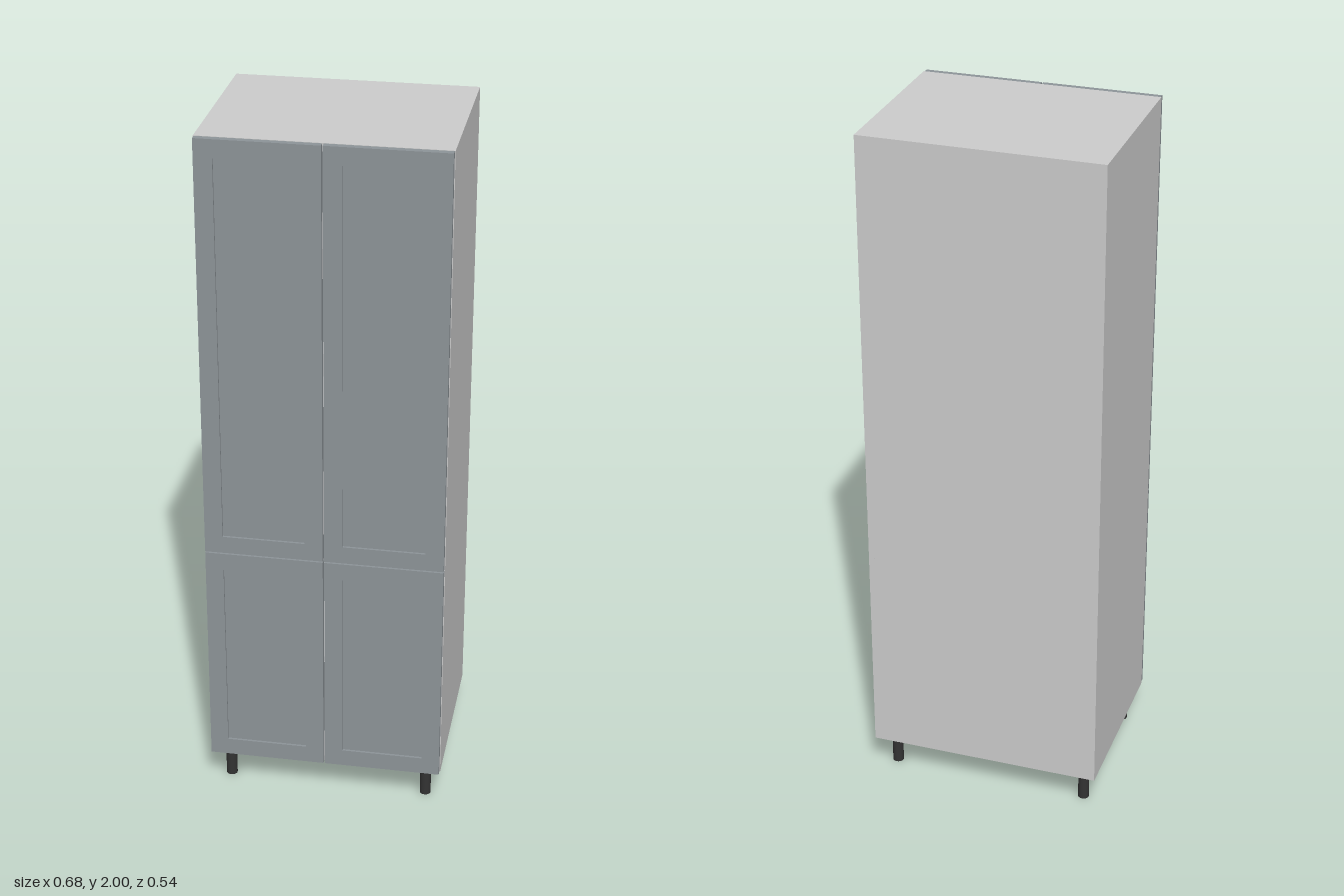
import * as THREE from 'three';

const W = 0.338, T = 0.016, Y0 = 0.107, Y1 = 2, ZB = -0.27, ZF = 0.25, DOOR = 0.018;

const carcassMat = new THREE.MeshStandardMaterial({ color: 0xcccccc });
const doorMat = new THREE.MeshStandardMaterial({ color: 0x8d9498 });
const legMat = new THREE.MeshStandardMaterial({ color: 0x333333 });

// Box given by its minimum and maximum corners
function board(name, [x0, y0, z0], [x1, y1, z1], mat = carcassMat) {
  const mesh = new THREE.Mesh(new THREE.BoxGeometry(x1 - x0, y1 - y0, z1 - z0), mat);
  mesh.position.set((x0 + x1) / 2, (y0 + y1) / 2, (z0 + z1) / 2);
  mesh.name = name;
  return mesh;
}

function rectangle(target, x0, y0, x1, y1) {
  target.moveTo(x0, y0);
  target.lineTo(x1, y0);
  target.lineTo(x1, y1);
  target.lineTo(x0, y1);
  target.closePath();
  return target;
}

// Framed door with a recessed flat panel
function door(name, x0, y0, x1, y1) {
  const group = new THREE.Group();
  group.name = name;
  const rail = 0.051;
  const inner = [x0 + rail, y0 + rail, x1 - rail, y1 - rail];
  const outline = rectangle(new THREE.Shape(), x0, y0, x1, y1);
  outline.holes.push(rectangle(new THREE.Path(), ...inner));
  const frame = new THREE.Mesh(
    new THREE.ExtrudeGeometry(outline, { depth: DOOR, bevelEnabled: false }), doorMat);
  frame.position.z = ZF;
  frame.name = 'doorFrame';
  const panel = board('doorPanel', [inner[0], inner[1], ZF],
    [inner[2], inner[3], ZF + DOOR - 0.007], doorMat);
  group.add(frame, panel);
  return group;
}

export function createModel() {
  const model = new THREE.Group();
  model.name = 'tallCabinet';

  // Carcass
  const carcass = new THREE.Group();
  carcass.name = 'carcass';
  const xi = W - T;
  carcass.add(
    board('leftSide', [xi, Y0, ZB], [W, Y1, ZF]),
    board('rightSide', [-W, Y0, ZB], [-xi, Y1, ZF]),
    board('topPanel', [-xi, Y1 - T, ZB], [xi, Y1, ZF]),
    board('bottomPanel', [-xi, Y0, ZB], [xi, Y0 + T, ZF]),
    board('backPanel', [-xi, Y0 + T, ZB], [xi, Y1 - T, ZB + 0.006]));

  // Shelves behind the doors
  for (const y of [0.45, 0.785, 1.09, 1.4, 1.7]) {
    carcass.add(board('shelf', [-xi, y - T / 2, ZB + 0.006], [xi, y + T / 2, ZF - 0.01]));
  }
  model.add(carcass);

  // Two pairs of doors with narrow gaps between them
  const rows = [['lower', Y0 + 0.002, 0.783], ['upper', 0.787, Y1 - 0.001]];
  for (const [row, y0, y1] of rows) {
    model.add(door(row + 'LeftDoor', 0.002, y0, W - 0.002, y1));
    model.add(door(row + 'RightDoor', -W + 0.002, y0, -0.002, y1));
  }

  // Legs
  const legGeometry = new THREE.CylinderGeometry(0.016, 0.016, Y0, 24);
  for (const x of [-0.29, 0.29]) {
    for (const z of [-0.21, 0.205]) {
      const leg = new THREE.Mesh(legGeometry, legMat);
      leg.position.set(x, Y0 / 2, z);
      leg.name = z > 0 ? 'frontLeg' : 'backLeg';
      model.add(leg);
    }
  }
  return model;
}
